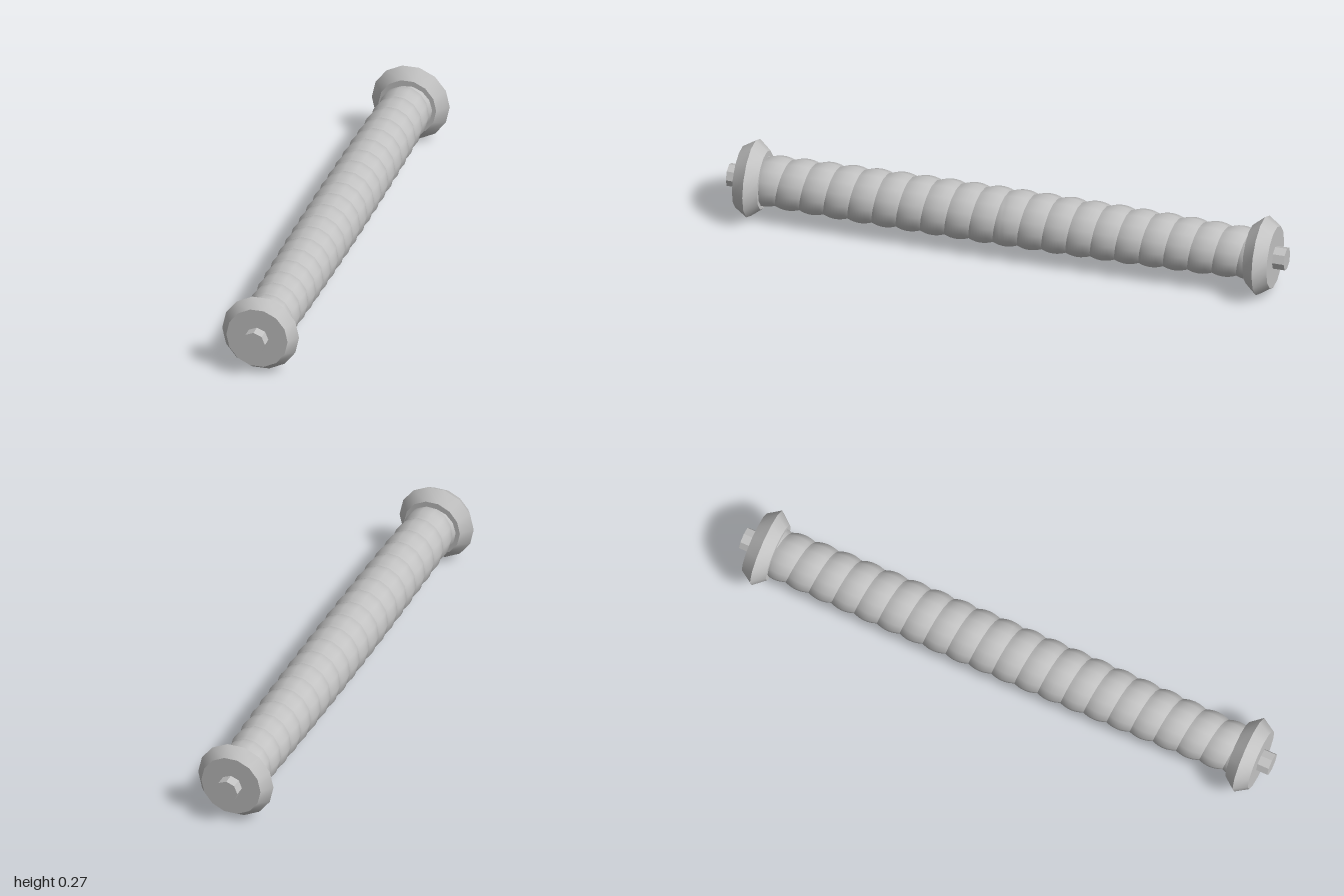
import * as THREE from 'three';
import { toCreasedNormals } from 'three/addons/utils/BufferGeometryUtils.js';

const SIDES = 14;
const STEP = Math.PI / SIDES;   // half a facet, puts a flat side on top
const AXIS_Y = 0.137;
const PITCH = 1.74 / 20;
const HALF = 0.88;              // the shaft ends just inside the collars

// Barrel-shaped shaft wrapped by one rounded spiral ridge
function spiralShaft() {
  const perTurn = 8, turns = 22;
  const g = new THREE.CylinderGeometry(1, 1, 1, SIDES, perTurn * turns, true, STEP);
  const pos = g.attributes.position, uv = g.attributes.uv;
  for (let i = 0; i < pos.count; i++) {
    const along = (uv.getY(i) - 0.5) * turns;               // in turns
    const z = THREE.MathUtils.clamp((along - uv.getX(i) + 0.5) * PITCH, -HALF, HALF);
    const t = (uv.getY(i) * turns) % 1;
    const bulge = 1 - (2 * t - 1) ** 2;                     // round ridge, sharp groove
    const r = 0.103 - 0.012 * (z / HALF) ** 2 - 0.009 * (1 - bulge);
    const a = STEP + uv.getX(i) * Math.PI * 2;
    pos.setXYZ(i, r * Math.sin(a), z, r * Math.cos(a));
  }
  g.rotateX(Math.PI / 2);
  return toCreasedNormals(g, 0.55);
}

// Double-bevelled collar
function collar(radius) {
  const profile = [[0, 0.87], [0.104, 0.87], [radius, 0.913], [0.11, 0.958], [0, 0.958]]
    .map(([r, z]) => new THREE.Vector2(r, z));
  const g = new THREE.LatheGeometry(profile, SIDES, STEP);
  g.rotateX(Math.PI / 2);
  return toCreasedNormals(g, 0.55);
}

// Octagonal pin at the tip
function pin() {
  const g = new THREE.CylinderGeometry(0.041, 0.041, 0.05, 8);
  g.rotateX(Math.PI / 2);
  g.translate(0, 0, 0.975);
  return toCreasedNormals(g, 0.55);
}

export function createModel() {
  const model = new THREE.Group();
  model.name = 'spiralRod';
  const grey = new THREE.MeshStandardMaterial({ color: 0xc2c2c2 });
  grey.name = 'lightGrey';

  const add = (parent, name, geometry) => {
    const mesh = new THREE.Mesh(geometry, grey);
    mesh.name = name;
    parent.add(mesh);
  };

  const body = new THREE.Group();
  body.name = 'rod';
  body.position.y = AXIS_Y;
  model.add(body);

  add(body, 'spiralShaft', spiralShaft());

  // Matching ends, the back one turned around
  for (const [name, radius, turn] of [['front', 0.138, 0], ['back', 0.14, Math.PI]]) {
    const end = new THREE.Group();
    end.name = name + 'End';
    end.rotation.y = turn;
    add(end, name + 'Collar', collar(radius));
    add(end, name + 'Pin', pin());
    body.add(end);
  }
  return model;
}
